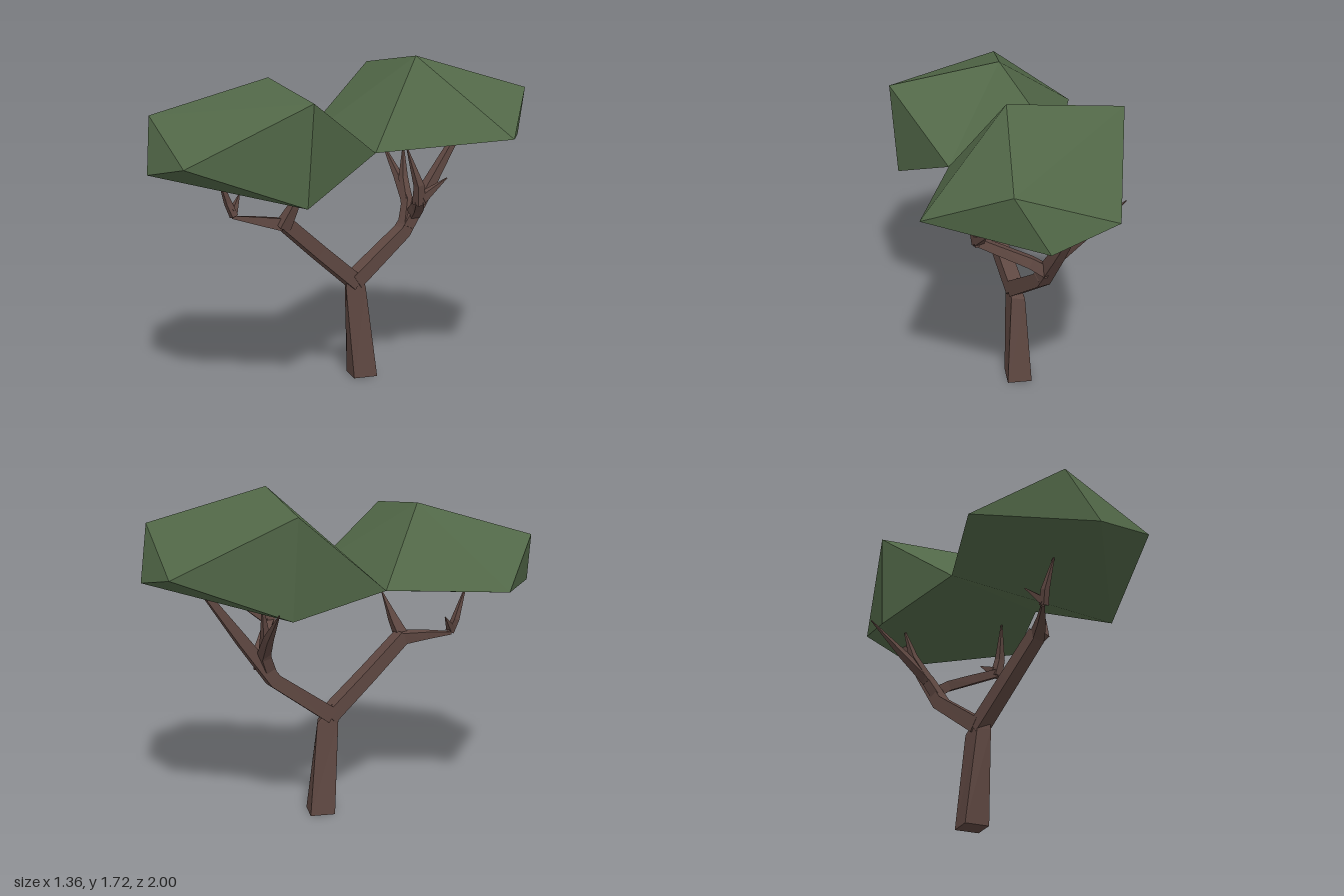
import * as THREE from 'three';
import { ConvexGeometry } from 'three/addons/geometries/ConvexGeometry.js';

const SIDES = 4;

// Tapered four-sided limb through stations [x, y, z, radius, squash]
function limbGeometry(stations, spin = Math.PI / 4, axis = null) {
  const pts = stations.map(s => new THREE.Vector3(s[0], s[1], s[2]));
  const last = pts.length - 1;
  const whole = pts[last].clone().sub(pts[0]).normalize();
  const ref = Math.abs(whole.x) > 0.7 ? new THREE.Vector3(0, 0, 1) : new THREE.Vector3(1, 0, 0);
  const rings = pts.map((p, i) => {
    const t = axis ? axis.clone()
      : pts[Math.min(i + 1, last)].clone().sub(pts[Math.max(i - 1, 0)]).normalize();
    const v = ref.clone().cross(t).normalize();
    const u = t.clone().cross(v);
    const r = stations[i][3], squash = stations[i][4] ?? 1;
    return Array.from({ length: SIDES }, (_, k) => {
      const a = spin + (k / SIDES) * Math.PI * 2;
      return p.clone().addScaledVector(u, r * squash * Math.sin(a)).addScaledVector(v, r * Math.cos(a));
    });
  });
  const tri = [];
  for (let i = 0; i < last; i++) {
    for (let k = 0; k < SIDES; k++) {
      const n = (k + 1) % SIDES;
      const a = rings[i][k], b = rings[i][n], c = rings[i + 1][n], d = rings[i + 1][k];
      tri.push(a, b, c, a, c, d);
    }
  }
  // End caps
  const s = rings[0], e = rings[last];
  tri.push(s[0], s[2], s[1], s[0], s[3], s[2], e[0], e[1], e[2], e[0], e[2], e[3]);
  const geo = new THREE.BufferGeometry().setFromPoints(tri);
  geo.computeVertexNormals();
  return geo;
}

export function createModel() {
  const tree = new THREE.Group();
  tree.name = 'tree';

  const bark = new THREE.MeshStandardMaterial({ color: 0x5e4741, flatShading: true });
  bark.name = 'bark brown';
  const leaf = new THREE.MeshStandardMaterial({ color: 0x516747, flatShading: true });
  leaf.name = 'leaf green';

  const add = (name, geometry, material) => {
    const mesh = new THREE.Mesh(geometry, material);
    mesh.name = name;
    tree.add(mesh);
  };

  // Leaning trunk, narrowing sideways towards the fork
  add('trunk', limbGeometry([
    [-0.025, 0, -0.145, 0.092],
    [-0.027, 0.5, -0.1, 0.084, 0.55],
    [-0.027, 0.585, -0.06, 0.03, 1.2],
  ], 0.48, new THREE.Vector3(0, 1, 0)), bark);

  // Two main boughs
  add('frontBough', limbGeometry([
    [-0.027, 0.52, -0.1, 0.056], [-0.03, 0.72, 0.14, 0.053], [-0.03, 0.9, 0.35, 0.05],
  ]), bark);
  add('backBough', limbGeometry([
    [-0.027, 0.53, -0.09, 0.058], [-0.02, 0.76, -0.41, 0.05],
    [-0.015, 0.98, -0.575, 0.04], [-0.01, 1.24, -0.765, 0.022],
  ]), bark);

  // Thin branches and pointed twigs
  const twigs = {
    frontUpTwig: [[-0.02, 0.88, 0.36, 0.045], [0.02, 0.98, 0.325, 0.03], [0.07, 1.13, 0.28, 0.003]],
    frontSideBranch: [[-0.03, 0.89, 0.35, 0.045], [-0.11, 0.91, 0.46, 0.028], [-0.19, 0.925, 0.555, 0.01]],
    frontSideTwig: [[-0.18, 0.93, 0.55, 0.024], [-0.195, 1.0, 0.575, 0.022], [-0.19, 1.17, 0.64, 0.003]],
    frontSmallTwig: [[-0.185, 0.95, 0.555, 0.026], [-0.24, 1.03, 0.48, 0.003]],
    backRightBranch: [[-0.01, 0.78, -0.42, 0.04], [-0.06, 0.91, -0.48, 0.036],
      [-0.2, 1.03, -0.52, 0.026], [-0.4, 1.19, -0.56, 0.003]],
    backRightTwig: [[-0.06, 0.9, -0.475, 0.034], [-0.14, 1.03, -0.51, 0.026], [-0.18, 1.18, -0.54, 0.006]],
    backLeftBranch: [[-0.02, 0.84, -0.48, 0.042], [0.06, 0.9, -0.45, 0.038],
      [0.18, 0.95, -0.36, 0.034], [0.28, 0.99, -0.28, 0.03]],
    backLeftTwig: [[0.27, 0.97, -0.29, 0.036], [0.285, 1.07, -0.275, 0.028], [0.25, 1.27, -0.22, 0.003]],
    backLeftSmallTwig: [[0.275, 1.0, -0.3, 0.034], [0.3, 1.095, -0.45, 0.003]],
  };
  for (const [name, stations] of Object.entries(twigs)) add(name, limbGeometry(stations), bark);

  // Faceted crowns: the same lump, turned half round and raised at the back
  const lump = [
    [-0.15, 1.625, 0.355], [0.42, 1.553, 0.465], [-0.68, 1.235, 0.56], [-0.38, 1.45, 0.91],
    [0.113, 1.25, 0.99], [-0.24, 1.178, 1.0], [0.385, 1.05, 0.48],
  ];
  const sharedEdge = [[-0.35, 1.235, 0.053], [0.292, 1.265, 0.01]];
  for (const [name, side, lift] of [['frontCrown', 1, 0], ['backCrown', -1, 0.095]]) {
    const corners = lump.map(([x, y, z]) => [x * side, y + lift, z * side]).concat(sharedEdge);
    add(name, new ConvexGeometry(corners.map(c => new THREE.Vector3(...c))), leaf);
  }

  return tree;
}
